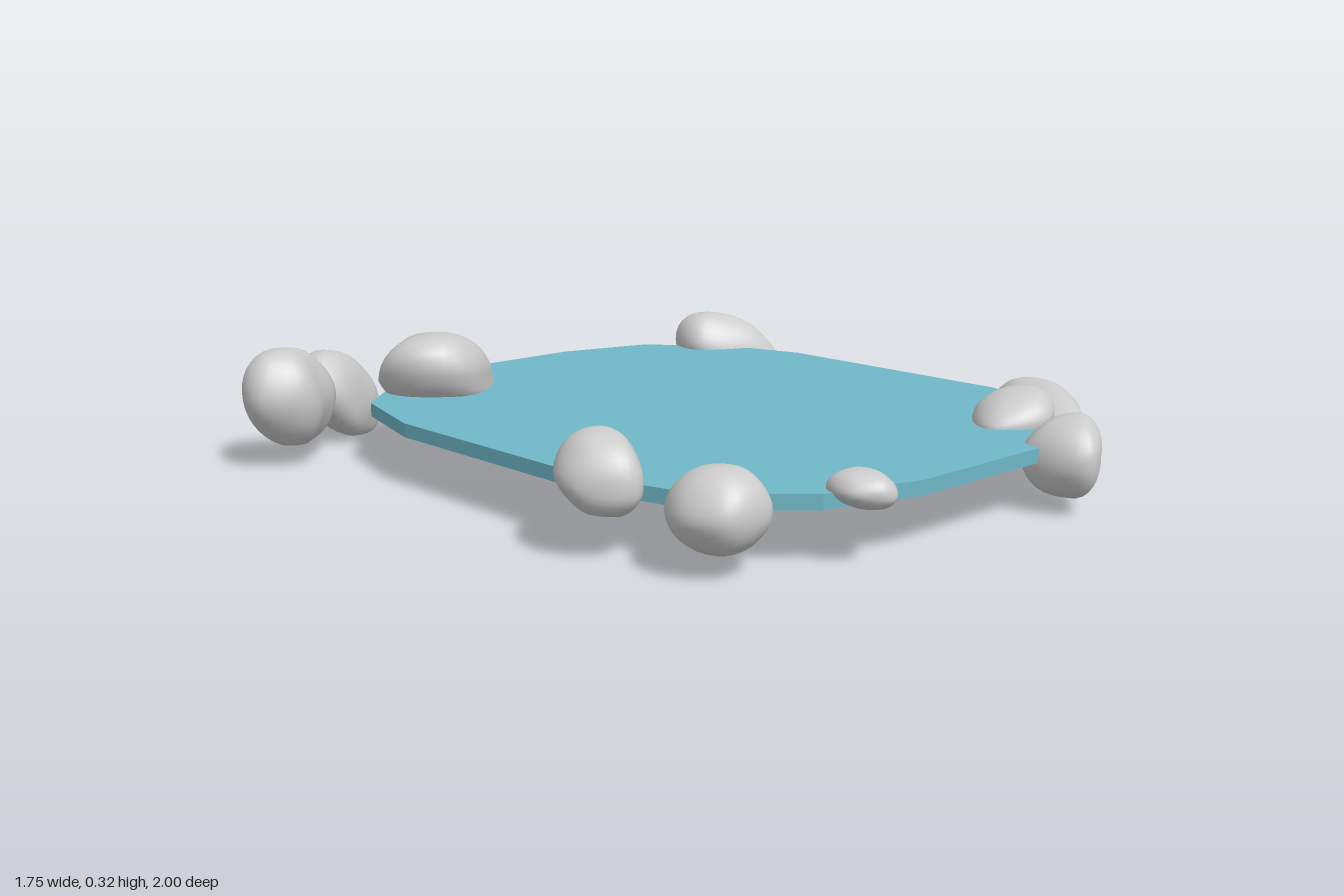
import * as THREE from 'three';
import { mergeVertices } from 'three/addons/utils/BufferGeometryUtils.js';

const SEGMENTS = 36, RINGS = 18;

// Smooth boulder: a waist outline seen from above ([x, z] points, clockwise),
// closing towards a top and a bottom point. The waist may tilt along x and z.
function rock(name, material, outline, waist, top, bottom, tiltX = 0, tiltZ = 0) {
  const curve = new THREE.CatmullRomCurve3(
    outline.map(([x, z]) => new THREE.Vector3(x, 0, z)), true);
  const loop = curve.getSpacedPoints(SEGMENTS).slice(0, SEGMENTS);
  const centre = loop.reduce((sum, p) => sum.add(p), new THREE.Vector3()).divideScalar(SEGMENTS);
  const positions = [], index = [];
  for (let j = 0; j <= RINGS; j++) {
    const angle = (j / RINGS - 0.5) * Math.PI;
    const lift = Math.abs(Math.sin(angle));
    const spread = j % RINGS === 0 ? 0 : Math.cos(angle) ** 0.85;
    const pole = angle > 0 ? top : bottom;
    loop.forEach((p, i) => {
      const dx = (p.x - centre.x) * spread, dz = (p.z - centre.z) * spread;
      // shallow dents between waist and poles
      const dent = 1 - 0.04 * Math.sin(2 * angle) ** 2 *
        (1 + Math.sin(3 * i / SEGMENTS * 2 * Math.PI + outline.length + angle));
      positions.push(
        centre.x + dx * dent + (pole[0] - centre.x) * lift,
        waist + dx * tiltX + dz * tiltZ + (pole[1] - waist) * lift,
        centre.z + dz * dent + (pole[2] - centre.z) * lift);
      if (j < RINGS) {
        const next = (i + 1) % SEGMENTS;
        const a = j * SEGMENTS + i, b = j * SEGMENTS + next;
        const c = a + SEGMENTS, d = b + SEGMENTS;
        if (j > 0) index.push(a, c, b);
        if (j < RINGS - 1) index.push(b, c, d);
      }
    });
  }
  let geometry = new THREE.BufferGeometry();
  geometry.setAttribute('position', new THREE.Float32BufferAttribute(positions, 3));
  geometry.setIndex(index);
  geometry = mergeVertices(geometry, 1e-5);
  geometry.computeVertexNormals();
  const mesh = new THREE.Mesh(geometry, material);
  mesh.name = name;
  return mesh;
}

export function createModel() {
  const group = new THREE.Group();
  group.name = 'pond';
  const stone = new THREE.MeshStandardMaterial({ color: 0xcccccc });
  const blue = new THREE.MeshStandardMaterial({ color: 0x70b8c8 });

  // Water slab with clipped corners
  const shore = [
    [-0.15, -0.84], [0.24, -0.84], [0.49, -0.77], [0.66, -0.6], [0.74, -0.34], [0.74, 0.38],
    [0.67, 0.64], [0.5, 0.81], [0.25, 0.88], [-0.17, 0.88], [-0.41, 0.81], [-0.6, 0.63],
    [-0.67, 0.36], [-0.67, -0.34], [-0.6, -0.6], [-0.42, -0.77],
  ];
  const shape = new THREE.Shape(shore.map(([x, z]) => new THREE.Vector2(x, -z)));
  const slab = new THREE.ExtrudeGeometry(shape, { depth: 0.035, bevelEnabled: false });
  slab.rotateX(-Math.PI / 2).translate(0, 0.12, 0);
  const water = new THREE.Mesh(slab, blue);
  water.name = 'water';
  group.add(water);

  const add = (name, ...args) => group.add(rock(name, stone, ...args));

  // Rear rocks
  add('rearLargeRock',
    [[-0.35, -0.89], [-0.2, -0.89], [-0.11, -0.78], [-0.16, -0.67], [-0.24, -0.57],
      [-0.38, -0.49], [-0.5, -0.57], [-0.52, -0.68], [-0.43, -0.79]],
    0.17, [-0.37, 0.31, -0.63], [-0.28, 0.07, -0.7], -0.08, 0.06);
  add('rearMiddleRock',
    [[-0.57, -0.99], [-0.46, -1], [-0.38, -0.92], [-0.47, -0.84], [-0.57, -0.79],
      [-0.64, -0.81], [-0.63, -0.92]],
    0.13, [-0.53, 0.245, -0.91], [-0.48, 0.0, -0.9], -0.2);
  add('rearOuterRock',
    [[-0.79, -0.86], [-0.67, -0.83], [-0.6, -0.78], [-0.67, -0.7], [-0.75, -0.64],
      [-0.87, -0.69], [-0.87, -0.77]],
    0.17, [-0.77, 0.3, -0.75], [-0.73, 0.04, -0.76]);
  add('rearLeftRock',
    [[0.69, -0.75], [0.8, -0.69], [0.865, -0.57], [0.81, -0.48], [0.69, -0.5],
      [0.55, -0.59], [0.58, -0.71]],
    0.12, [0.69, 0.25, -0.63], [0.76, 0.01, -0.6], -0.22);

  // Front rocks on the right side
  add('sideRock',
    [[-0.64, 0.3], [-0.59, 0.34], [-0.6, 0.45], [-0.67, 0.53], [-0.77, 0.45],
      [-0.77, 0.38], [-0.71, 0.31]],
    0.17, [-0.67, 0.265, 0.42], [-0.68, 0.09, 0.42], 0, -0.15);
  add('cornerRock',
    [[-0.65, 0.59], [-0.55, 0.6], [-0.49, 0.71], [-0.53, 0.78], [-0.65, 0.78], [-0.7, 0.68]],
    0.13, [-0.59, 0.225, 0.69], [-0.59, 0.04, 0.69]);
  add('pebble',
    [[-0.37, 0.78], [-0.28, 0.78], [-0.26, 0.87], [-0.32, 0.92], [-0.39, 0.86]],
    0.155, [-0.33, 0.2, 0.84], [-0.31, 0.115, 0.85]);

  // Front rocks on the left side
  add('frontRock',
    [[0.26, 0.82], [0.38, 0.8], [0.475, 0.86], [0.41, 0.94], [0.29, 0.995], [0.25, 0.93]],
    0.13, [0.35, 0.22, 0.9], [0.34, 0.03, 0.9], 0.05);
  add('innerRock',
    [[0.42, 0.57], [0.52, 0.62], [0.535, 0.71], [0.44, 0.77], [0.32, 0.69], [0.34, 0.63]],
    0.17, [0.45, 0.235, 0.67], [0.43, 0.08, 0.67], 0.15);
  add('longRock',
    [[0.72, 0.42], [0.79, 0.46], [0.78, 0.61], [0.67, 0.72], [0.58, 0.78], [0.535, 0.73],
      [0.56, 0.61], [0.62, 0.49]],
    0.135, [0.68, 0.205, 0.57], [0.66, 0.065, 0.6], 0.05);

  return group;
}
